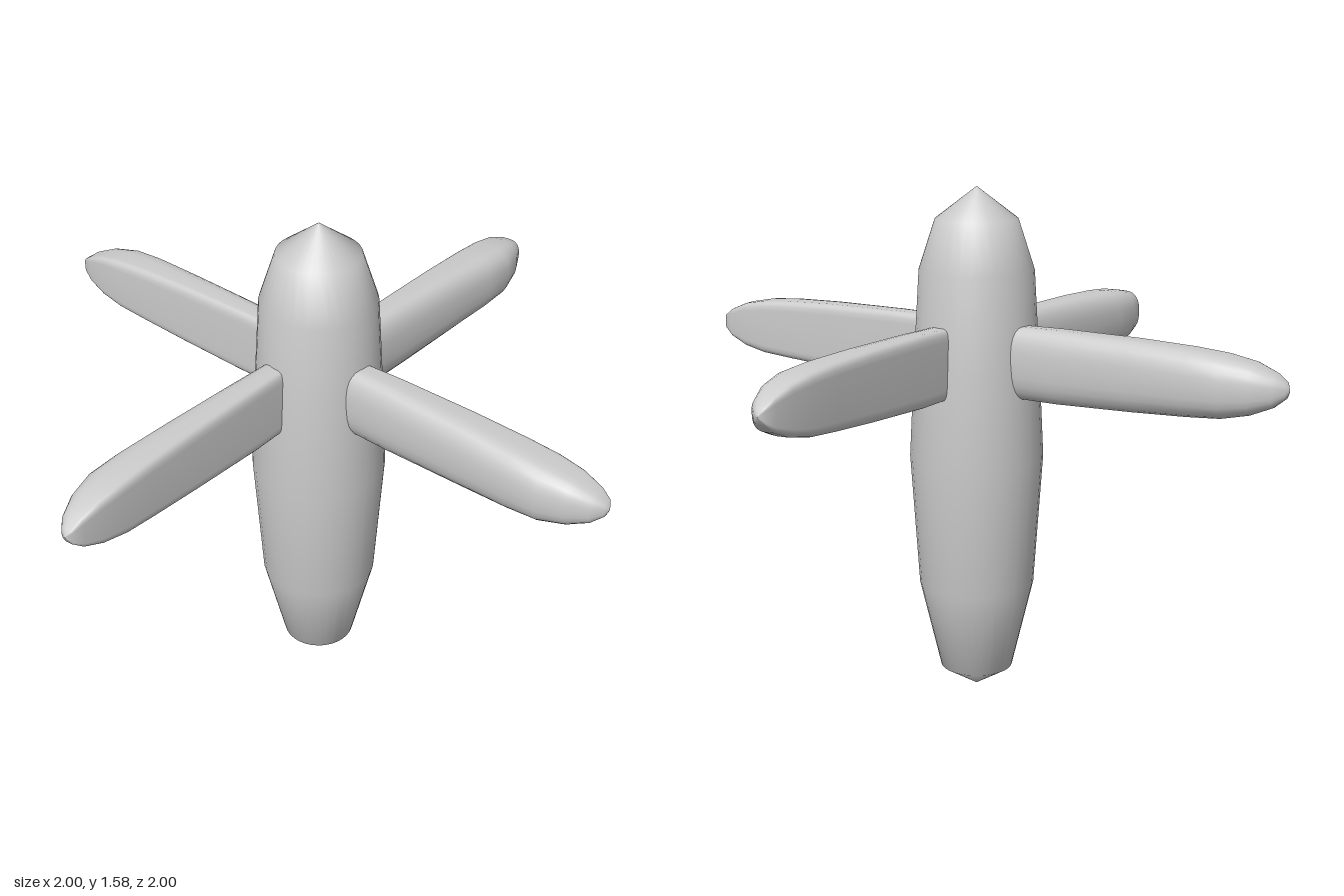
import * as THREE from 'three';

const material = new THREE.MeshStandardMaterial({ color: 0xcccccc, side: THREE.DoubleSide });

// Blade stations: [x, zMin, zMax, yMin, yMax]
const STATIONS = [
  [0.08, -0.01, 0.085, 0.96, 1.175],
  [0.3, 0.003, 0.115, 0.96, 1.178],
  [0.55, 0.022, 0.15, 0.97, 1.176],
  [0.72, 0.035, 0.176, 0.98, 1.17],
  [0.82, 0.043, 0.185, 0.988, 1.162],
  [0.9, 0.054, 0.17, 1.005, 1.147],
  [0.96, 0.068, 0.145, 1.03, 1.122],
  [0.99, 0.08, 0.12, 1.055, 1.1],
  [1.0, 0.1, 0.1, 1.078, 1.078],
];

// Blade skin: cross-sections flat on one side and rounded on the other
function bladeGeometry() {
  const sides = 24;
  const positions = [], index = [];
  const squash = (t, p) => Math.sign(t) * Math.abs(t) ** p;
  for (const [x, z0, z1, y0, y1] of STATIONS) {
    for (let i = 0; i < sides; i++) {
      const a = (i / sides) * Math.PI * 2;
      const c = Math.cos(a), s = Math.sin(a);
      const p = c < -1e-6 ? 0.3 : 0.8; // flat side is squarer
      positions.push(
        x,
        (y0 + y1) / 2 + (squash(s, p) * (y1 - y0)) / 2,
        (z0 + z1) / 2 + (squash(c, p) * (z1 - z0)) / 2,
      );
    }
  }
  for (let k = 0; k < STATIONS.length - 1; k++) {
    for (let i = 0; i < sides; i++) {
      const j = (i + 1) % sides;
      const a = k * sides + i, b = k * sides + j;
      index.push(a, b, a + sides, b, b + sides, a + sides);
    }
  }
  const geometry = new THREE.BufferGeometry();
  geometry.setAttribute('position', new THREE.Float32BufferAttribute(positions, 3));
  // Wind faces outward
  for (let i = 0; i < index.length; i += 3) [index[i + 1], index[i + 2]] = [index[i + 2], index[i + 1]];
  geometry.setIndex(index);
  geometry.computeVertexNormals();
  return geometry;
}

export function createModel() {
  const model = new THREE.Group();
  model.name = 'propeller';

  // Hub: spindle-shaped body with pointed ends
  const profile = [
    [0, 0], [0.112, 0.07], [0.178, 0.35], [0.205, 0.76],
    [0.19, 1.06], [0.174, 1.33], [0.125, 1.48], [0, 1.575],
  ].map(([r, y]) => new THREE.Vector2(r, y));
  const hub = new THREE.Mesh(new THREE.LatheGeometry(profile, 32), material);
  hub.name = 'hub';
  model.add(hub);

  // Four blades around the hub
  const geometry = bladeGeometry();
  for (let i = 0; i < 4; i++) {
    const blade = new THREE.Mesh(geometry, material);
    blade.name = `blade${i + 1}`;
    blade.rotation.y = (i * Math.PI) / 2;
    model.add(blade);
  }
  return model;
}
